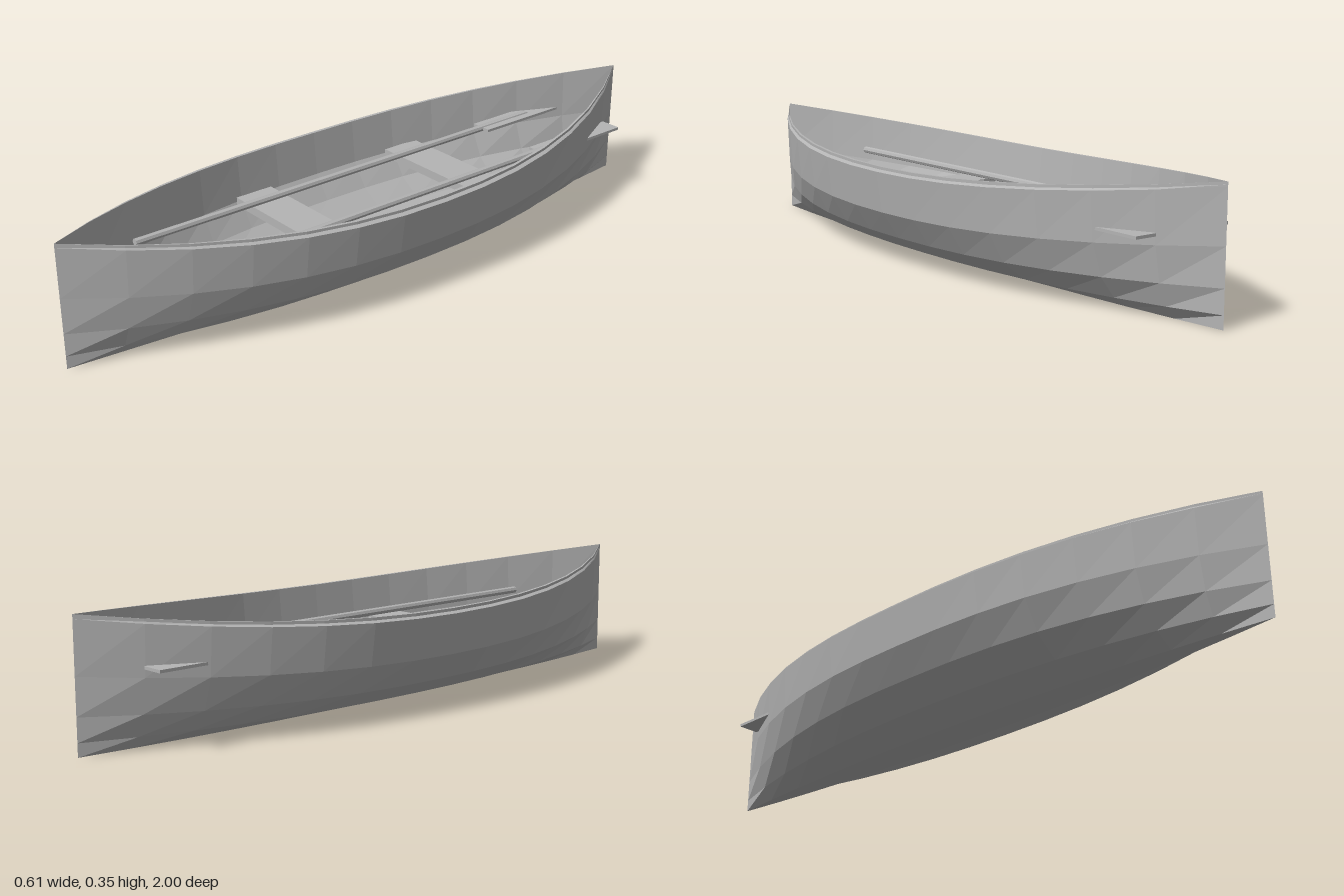
import * as THREE from 'three';

const wood = new THREE.MeshStandardMaterial({ color: 0xb4b4b4, flatShading: true });
wood.name = 'plain grey';

// Half section: [x amidships, y amidships, y at the stems], outer keel up over the rim to the inner floor
const SECTION = [
  [0, 0, 0], [0.05, 0, 0], [0.152, 0.03, 0.036], [0.235, 0.082, 0.1],
  [0.288, 0.16, 0.2], [0.305, 0.275, 0.34],
  [0.293, 0.28, 0.345], [0.293, 0.288, 0.352], [0.283, 0.288, 0.352],
  [0.27, 0.16, 0.2], [0.22, 0.09, 0.108], [0.142, 0.042, 0.048],
  [0.045, 0.014, 0.014], [0, 0.014, 0.014],
];
const STEPS = 14;

// Double-ended shell lofted from stem to stem
function hullGeometry() {
  const mirrored = SECTION.slice(1, -1).reverse().map(([x, a, b]) => [-x, a, b]);
  const ring = [...SECTION, ...mirrored];
  const n = ring.length;
  const positions = [];
  const index = [];
  for (let i = 0; i <= STEPS; i++) {
    const z = -1 + (2 * i) / STEPS;
    const t = Math.abs(z);
    const beam = 1 - Math.pow(t, 2.3);
    for (const [x, mid, end] of ring) {
      positions.push(x * beam, mid + (end - mid) * t * t, z);
    }
  }
  for (let i = 0; i < STEPS; i++) {
    for (let j = 0; j < n; j++) {
      const a = i * n + j;
      const b = i * n + ((j + 1) % n);
      index.push(a, b, a + n, b, b + n, a + n);
    }
  }
  const geometry = new THREE.BufferGeometry();
  geometry.setAttribute('position', new THREE.Float32BufferAttribute(positions, 3));
  geometry.setIndex(index);
  geometry.computeVertexNormals();
  return geometry;
}

function addMesh(parent, name, geometry, x, y, z) {
  const mesh = new THREE.Mesh(geometry, wood);
  mesh.name = name;
  mesh.position.set(x, y, z);
  parent.add(mesh);
  return mesh;
}

export function createModel() {
  const boat = new THREE.Group();
  boat.name = 'rowingBoat';

  addMesh(boat, 'hull', hullGeometry(), 0, 0, 0);

  // Two cross benches
  const bench = new THREE.BoxGeometry(0.5, 0.025, 0.12);
  addMesh(boat, 'frontBench', bench, 0, 0.166, 0.245);
  addMesh(boat, 'rearBench', bench, 0, 0.166, -0.31);

  // Oars laid lengthwise, blades poking through the rear sides
  const shaft = new THREE.CylinderGeometry(0.0105, 0.0105, 1.445, 8).rotateX(Math.PI / 2);
  const blade = new THREE.BoxGeometry(0.065, 0.008, 0.328);
  for (const side of [1, -1]) {
    const oar = new THREE.Group();
    oar.name = side > 0 ? 'leftOar' : 'rightOar';
    oar.position.set(side * 0.122, 0.216, 0);
    addMesh(oar, 'shaft', shaft, 0, 0, -0.008);
    addMesh(oar, 'blade', blade, 0, 0, -0.698);
    boat.add(oar);
  }
  return boat;
}
